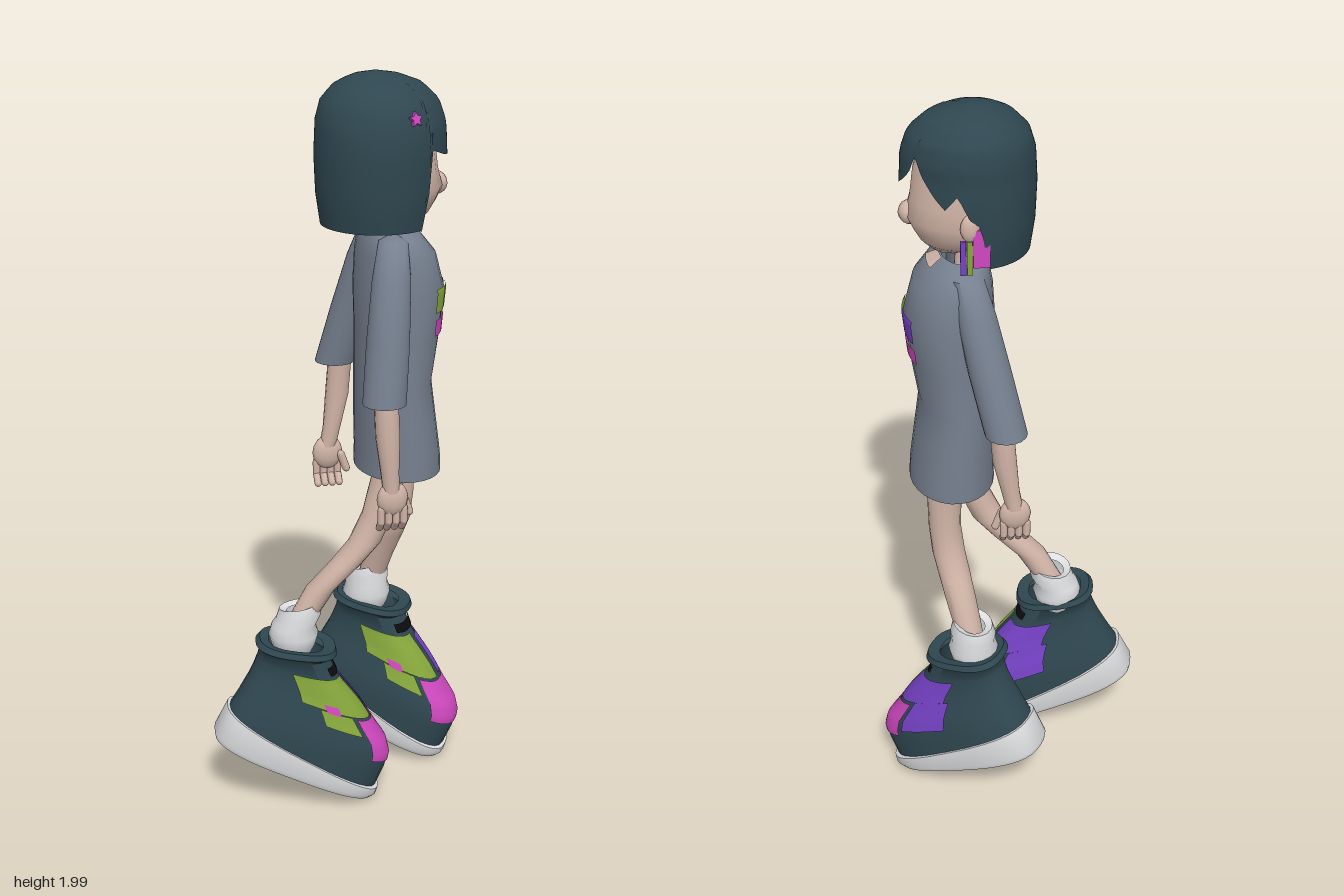
import * as THREE from 'three';
import { toCreasedNormals } from 'three/addons/utils/BufferGeometryUtils.js';

const mat = (name, color) => new THREE.MeshStandardMaterial({ name, color, side: THREE.DoubleSide });
const rad = THREE.MathUtils.degToRad;

// Piecewise linear lookup in a table keyed by its first column
function sample(table, k) {
  let i = 0;
  while (i < table.length - 2 && table[i + 1][0] < k) i++;
  const p = table[i], q = table[i + 1];
  const t = THREE.MathUtils.clamp((k - p[0]) / (q[0] - p[0] || 1), 0, 1);
  return p.map((v, n) => v + (q[n] - v) * t);
}

// Surface over a grid of points, columns running from +z towards +x, rows going up
function grid(rows, cols, closed, point, crease = 1) {
  const pos = [], idx = [], n = closed ? cols : cols + 1;
  for (let i = 0; i <= rows; i++)
    for (let j = 0; j < n; j++) pos.push(...point(i, j));
  for (let i = 0; i < rows; i++)
    for (let j = 0; j < cols; j++) {
      const a = i * n + j, b = i * n + (j + 1) % n;
      idx.push(a, b, b + n, a, b + n, a + n);
    }
  const g = new THREE.BufferGeometry();
  g.setAttribute('position', new THREE.Float32BufferAttribute(pos, 3));
  g.setIndex(idx);
  return toCreasedNormals(g, crease);
}

// Point on an oval section [y, centre x, centre z, half width, half depth, slope]
function ovalPoint([y, cx, cz, a, b = a, k = 0], ang, pw = 1, grow = 0) {
  const s = Math.sin(ang), c = Math.cos(ang);
  const x = Math.sign(s) * Math.abs(s) ** pw * (a + grow);
  const z = Math.sign(c) * Math.abs(c) ** pw * (b + grow);
  return [cx + x, y + k * z, cz + z];
}

const loft = (rows, seg = 16, pw = 1, crease = 1) => {
  const up = rows[0][0] > rows[rows.length - 1][0] ? [...rows].reverse() : rows;
  return grid(up.length - 1, seg, true, (i, j) => ovalPoint(up[i], j / seg * Math.PI * 2, pw), crease);
};

// Thin panel lying just over a lofted surface
const panel = (rows, y0, y1, d0, d1, pw = 1) => grid(10, 12, false, (i, j) =>
  ovalPoint(sample(rows, y0 + (y1 - y0) * i / 10), rad(d0 + (d1 - d0) * j / 12), pw, 0.005));

const shirtRows = [
  [0.95, 0, 0.006, 0.15, 0.112, 0], [1.0, 0, 0.005, 0.15, 0.11, 0], [1.1, 0, -0.003, 0.148, 0.104, 0],
  [1.2, 0, -0.01, 0.145, 0.097, 0], [1.33, 0, 0, 0.145, 0.107, 0], [1.45, 0, 0.004, 0.148, 0.115, 0],
  [1.54, 0, -0.006, 0.142, 0.1, 0], [1.59, 0, -0.022, 0.128, 0.075, 0], [1.61, 0, -0.035, 0.075, 0.055, 0],
];
// Shoe sections given as [height, front, back, half width, slope]
const shoeRows = [
  [0.03, 0.235, -0.235, 0.096, -0.1], [0.1, 0.233, -0.235, 0.098, 0], [0.14, 0.223, -0.23, 0.097, 0],
  [0.17, 0.2, -0.228, 0.092, 0], [0.2, 0.153, -0.226, 0.084, 0], [0.24, 0.086, -0.226, 0.075, 0.05],
  [0.28, 0.0, -0.228, 0.071, 0.12], [0.315, -0.05, -0.235, 0.074, 0.25], [0.33, -0.035, -0.25, 0.093, 0.28],
  [0.345, -0.045, -0.245, 0.086, 0.28], [0.34, -0.075, -0.22, 0.06, 0.28],
].map(([y, f, b, w, k]) => [y, 0, (f + b) / 2, w, (f - b) / 2, k]);
const soleRows = [
  [0, 0, 0, 0, 0, 0], [0, 0, 0, 0.099, 0.237, 0], [0.015, 0, 0, 0.106, 0.246, 0],
  [0.065, 0, 0, 0.104, 0.243, -0.13], [0.065, 0, 0, 0, 0, 0],
];
const headRows = [
  [1.615, 0, 0.06, 0, 0], [1.62, 0, 0.055, 0.05, 0.05], [1.65, 0, 0.03, 0.1, 0.105],
  [1.68, 0, 0.012, 0.126, 0.14], [1.715, 0, 0.008, 0.136, 0.16], [1.76, 0, 0.003, 0.138, 0.152],
  [1.83, 0, 0, 0.136, 0.146], [1.9, 0, 0, 0.12, 0.12], [1.95, 0, 0, 0, 0],
];
// Lower hair edge by angle from the face, and hair radius by height
const hairEdge = [
  [-180, 1.62], [-51, 1.62], [-46, 1.82], [-25, 1.8], [-3, 1.79], [12, 1.82], [22, 1.85], [27, 1.9], [37, 1.85],
  [49, 1.81], [60, 1.78], [72, 1.82], [82, 1.76], [92, 1.74], [99, 1.62], [180, 1.62],
];
const hairRadius = [
  [1.62, 0.146], [1.7, 0.158], [1.8, 0.162], [1.88, 0.158], [1.93, 0.143], [1.97, 0.105], [1.99, 0.055], [2, 0],
];

export function createModel() {
  const model = new THREE.Group();
  model.name = 'girl';
  const dark = mat('dark teal', 0x2f4750), grey = mat('shirt grey', 0x76808f), skin = mat('skin', 0xd2b5a8);
  const white = mat('white', 0xdcdddf), green = mat('green', 0x86a73c);
  const purple = mat('purple', 0x7642c6), pink = mat('pink', 0xcf48bf), black = mat('black', 0x0c0d0e);
  const add = (parent, name, geo, material, p = [0, 0, 0], r = [0, 0, 0]) => {
    const m = new THREE.Mesh(geo, material);
    m.name = name;
    m.position.set(...p);
    m.rotation.set(...r);
    parent.add(m);
    return m;
  };
  const group = (name, x, y, z, turn, pitch = 0) => {
    const g = new THREE.Group();
    g.name = name;
    g.position.set(x, y, z);
    g.rotation.set(pitch, rad(turn), 0, 'YXZ');
    model.add(g);
    return g;
  };

  // Shirt with neckline and printed panels
  const torso = group('torso', 0.109, 0, 0.105, 54);
  add(torso, 'shirt', loft(shirtRows, 28), grey);
  add(torso, 'neckline', panel(shirtRows, 1.59, 1.61, -20, 16), skin);
  add(torso, 'printStripe', panel(shirtRows, 1.335, 1.378, -57, 28), pink);
  for (const [d0, d1, m] of [[-59, -37, green], [-33, -14, green], [-7, 27, purple]])
    add(torso, 'printBlock', panel(shirtRows, 1.397, 1.46, d0, d1), m);

  // Sleeves, arms and hands
  add(model, 'rightSleeve', loft([[1.605, 0.02, 0.155, 0.005], [1.59, 0.006, 0.165, 0.038],
    [1.5, -0.024, 0.182, 0.05], [1.35, -0.05, 0.192, 0.056], [1.19, -0.075, 0.2, 0.057]]), grey);
  add(model, 'leftSleeve', loft([[1.605, 0.14, 0.03, 0.005], [1.59, 0.143, 0.014, 0.042],
    [1.5, 0.147, -0.022, 0.05], [1.35, 0.147, -0.07, 0.055], [1.19, 0.142, -0.12, 0.055]]), grey);
  add(model, 'rightArm', loft([[1.4, -0.045, 0.18, 0.032], [1.22, -0.07, 0.2, 0.032],
    [1.1, -0.07, 0.207, 0.032], [1.0, -0.067, 0.213, 0.024], [0.95, -0.062, 0.215, 0.023]], 12), skin);
  add(model, 'leftArm', loft([[1.4, 0.143, -0.06, 0.032], [1.22, 0.14, -0.1, 0.032],
    [1.1, 0.135, -0.108, 0.032], [1.0, 0.122, -0.117, 0.024], [0.95, 0.115, -0.125, 0.023]], 12), skin);
  for (const [name, x, z, side] of [['rightHand', -0.06, 0.217, -1], ['leftHand', 0.114, -0.125, 1]]) {
    const hand = group(name, x, 0.93, z, 50);
    add(hand, 'palm', new THREE.SphereGeometry(1, 12, 8), skin).scale.set(0.023, 0.048, 0.042);
    for (let i = 0; i < 4; i++) {
      const f = -0.03 + i * 0.02;
      add(hand, 'finger', new THREE.CapsuleGeometry(0.0105, 0.035, 3, 8), skin, [0.004 * side, -0.045, f]);
      add(hand, 'fingertip', new THREE.CapsuleGeometry(0.01, 0.025, 3, 8), skin,
        [-0.008 * side, -0.076, f], [0, 0, -0.7 * side]);
    }
    add(hand, 'thumb', new THREE.CapsuleGeometry(0.011, 0.045, 3, 8), skin, [-0.015 * side, -0.025, 0.042], [-0.35, 0, 0]);
  }

  // Legs and socks
  add(model, 'rightLeg', loft([[1.03, 0.06, 0.15, 0.048], [0.95, 0.042, 0.135, 0.046], [0.84, 0.02, 0.115, 0.043],
    [0.76, -0.006, 0.09, 0.044], [0.7, -0.043, 0.055, 0.043], [0.63, -0.09, 0.006, 0.041], [0.52, -0.132, -0.042, 0.036]]), skin);
  add(model, 'leftLeg', loft([[1.03, 0.18, 0.05, 0.048], [0.95, 0.188, 0.062, 0.046], [0.84, 0.188, 0.063, 0.043],
    [0.76, 0.187, 0.052, 0.044], [0.7, 0.193, 0.025, 0.043], [0.63, 0.203, -0.01, 0.041], [0.52, 0.206, -0.048, 0.036]]), skin);
  for (const [name, x, z, lean] of [['rightSock', -0.14, -0.05, 0.01], ['leftSock', 0.205, -0.055, 0]])
    add(model, name, loft([[0.43, x, z, 0.04], [0.47, x, z, 0.06], [0.5, x, z, 0.068], [0.525, x, z, 0.06],
      [0.55, x + lean, z + lean, 0.062, 0.062, 0.15], [0.58, x + lean, z + lean, 0.053, 0.053, 0.2],
      [0.57, x + lean, z + lean, 0.033, 0.033, 0.2]]), white);

  // High-top shoes, heels raised
  for (const [name, x, z, turn] of [['rightShoe', -0.162, -0.037, 41], ['leftShoe', 0.208, -0.047, 18]]) {
    const shoe = group(name, x, 0.112, z, turn, rad(25));
    add(shoe, 'sole', loft(soleRows, 40, 0.72, 0.7), white);
    add(shoe, 'upper', loft(shoeRows, 32, 0.78), dark);
    add(shoe, 'toePanel', panel(shoeRows, 0.122, 0.214, -46, 55, 0.78), pink);
    add(shoe, 'tonguePanel', panel(shoeRows, 0.218, 0.284, -95, -4, 0.78), green);
    add(shoe, 'outerTonguePanel', panel(shoeRows, 0.18, 0.217, -85, -52, 0.78), green);
    add(shoe, 'dot', panel(shoeRows.map(([y, x0, z0, a, b, k]) => [y, x0, z0, a + 0.003, b + 0.003, k]),
      0.215, 0.232, -80, -66, 0.78), pink);
    add(shoe, 'sidePanel', panel(shoeRows, 0.14, 0.22, 60, 93, 0.78), purple);
    add(shoe, 'upperSidePanel', panel(shoeRows, 0.22, 0.277, 2, 90, 0.78), purple);
    add(shoe, 'tongueTop', panel(shoeRows, 0.29, 0.305, -40, 40, 0.78), black);
  }

  // Head, nose, neck and left ear
  add(model, 'neck', loft([[1.54, 0.075, 0.08, 0.034], [1.68, 0.06, 0.085, 0.03]], 12), skin);
  const head = group('head', 0.046, 0, 0.084, 50);
  add(head, 'face', loft(headRows, 24), skin);
  add(head, 'nose', new THREE.SphereGeometry(1, 12, 8), skin, [0, 1.715, 0.155]).scale.set(0.035, 0.03, 0.03);
  add(head, 'ear', new THREE.SphereGeometry(1, 12, 8), skin, [0.142, 1.73, 0.02]).scale.set(0.016, 0.036, 0.024);

  // Bob hair with a stepped lower edge, a pointed fringe and the crown leaning to the left
  add(head, 'hair', grid(16, 96, true, (i, j) => {
    const deg = j / 96 * 360, phi = deg > 180 ? deg - 360 : deg, c = Math.cos(rad(phi));
    const e = sample(hairEdge, phi)[1], y = e + (2 - e) * (1 - (1 - i / 16) ** 1.7);
    const r = sample(hairRadius, y)[1] * (1 + 0.13 * Math.max(0, c) ** 6);
    const lean = 0.02 * Math.max(0, (y - 1.85) / 0.15);
    return [Math.sin(rad(phi)) * r + lean, y, c * r * 0.98];
  }, 1.2), dark);

  // Coloured strands, earrings and star clip
  for (const [deg, r, w] of [[-61, 0.138, 0.034], [91, 0.15, 0.042]])
    add(head, 'strand', new THREE.BoxGeometry(w, 0.1, 0.009), pink,
      [Math.sin(rad(deg)) * r, 1.68, Math.cos(rad(deg)) * r - 0.004], [0, rad(deg), 0]);
  add(head, 'earringPurple', new THREE.BoxGeometry(0.009, 0.09, 0.014), purple, [0.148, 1.655, 0.038]);
  add(head, 'earringGreen', new THREE.BoxGeometry(0.009, 0.09, 0.014), green, [0.148, 1.655, 0.022]);
  const star = new THREE.Shape(Array.from({ length: 10 }, (_, i) => {
    const r = i % 2 ? 0.01 : 0.02, a = i * Math.PI / 5;
    return new THREE.Vector2(Math.sin(a) * r, Math.cos(a) * r);
  }));
  const phi = rad(-66);
  add(head, 'starClip', new THREE.ExtrudeGeometry(star, { depth: 0.008, bevelEnabled: false }), pink,
    [Math.sin(phi) * 0.147, 1.9, Math.cos(phi) * 0.147], [-0.3, phi, 0]).rotation.order = 'YXZ';

  return model;
}
